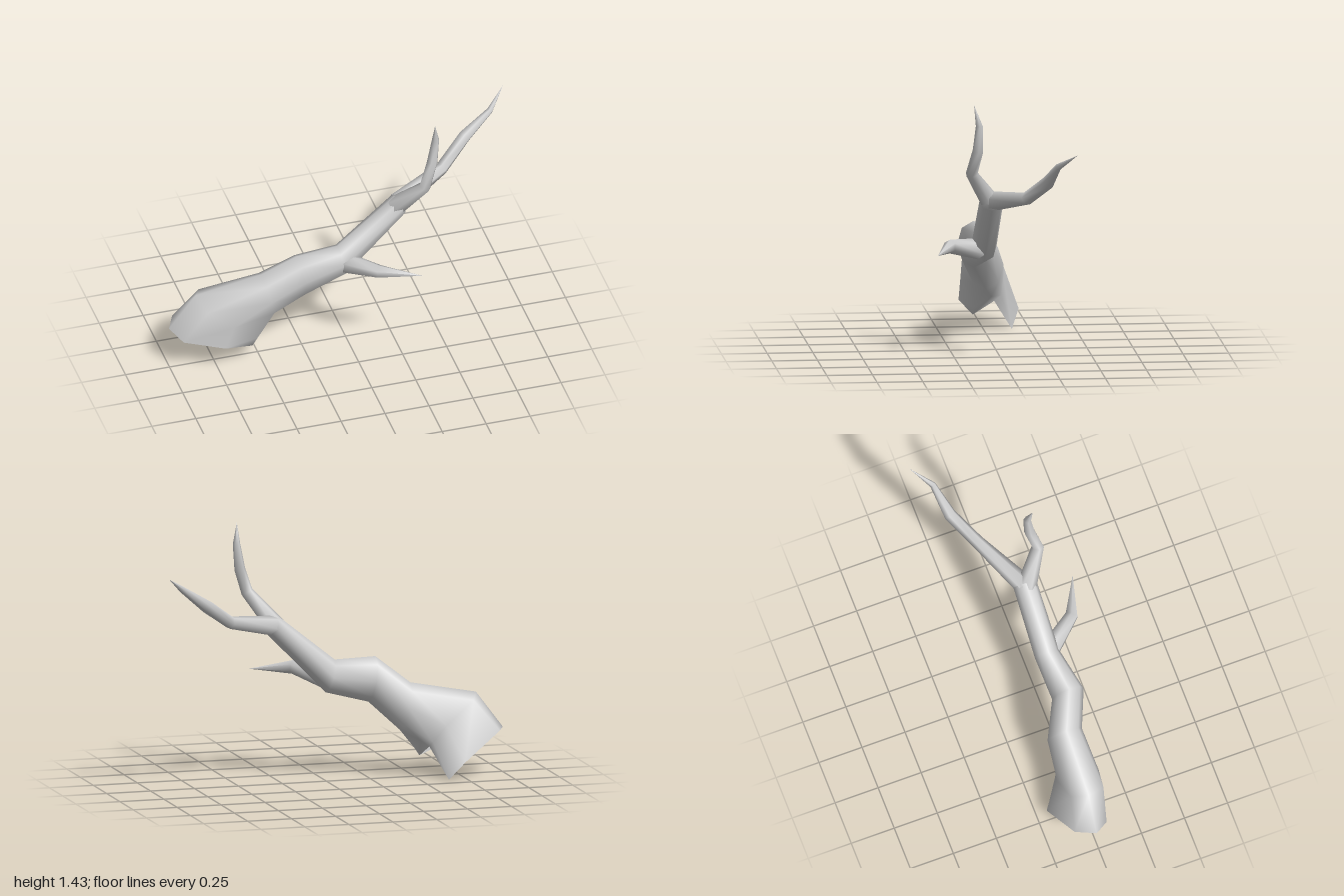
import * as THREE from 'three';

const SIDES = 8;
const V = (p) => new THREE.Vector3(...p);

// Smooth skin through a list of rings, each a loop of points
function loft(name, rings) {
  const n = rings[0].length, index = [];
  for (let i = 0; i < rings.length - 1; i++) {
    for (let j = 0; j < n; j++) {
      const k = (j + 1) % n;
      const a = i * n + j, b = i * n + k, c = b + n, d = a + n;
      index.push(a, b, c, a, c, d);
    }
  }
  const geometry = new THREE.BufferGeometry().setFromPoints(rings.flat());
  geometry.setIndex(index);
  geometry.computeVertexNormals();
  const material = new THREE.MeshStandardMaterial({ color: 0xcccccc, side: THREE.DoubleSide });
  const mesh = new THREE.Mesh(geometry, material);
  mesh.name = name;
  return mesh;
}

// Elliptical ring from a centre and two half axes
function ring(centre, up, side, n = SIDES) {
  return Array.from({ length: n }, (_, j) => {
    const a = (j / n) * Math.PI * 2;
    return centre.clone().addScaledVector(up, Math.cos(a)).addScaledVector(side, Math.sin(a));
  });
}

// Tapered limb through stations [x, y, z, radius]
function limb(name, stations) {
  const pts = stations.map(([x, y, z]) => V([x, y, z]));
  const rings = pts.map((p, i) => {
    const next = pts[Math.min(i + 1, pts.length - 1)], prev = pts[Math.max(i - 1, 0)];
    const t = next.clone().sub(p).normalize().add(p.clone().sub(prev).normalize()).normalize();
    const up = V([-1, 0.3, 0]);
    up.addScaledVector(t, -up.dot(t)).normalize();
    const side = t.clone().cross(up);
    const r = stations[i][3];
    return ring(p, up.multiplyScalar(r), side.multiplyScalar(r), 6);
  });
  return loft(name, rings);
}

export function createModel() {
  const group = new THREE.Group();
  group.name = 'deadTree';

  // Torn, open foot of the trunk: ragged rim, then the shoulder above it
  const rim = [
    [-1, 0.25, -0.01], [-0.94, 0.2, 0.07], [-0.72, 0.155, 0.13], [-0.55, 0.1, 0.07],
    [-0.57, 0.17, -0.05], [-0.65, 0.0, -0.155], [-0.73, 0.1, -0.2], [-0.95, 0.25, -0.12],
  ].map(V);
  const shoulder = [
    [-0.85, 0.45, 0], [-0.81, 0.39, 0.1], [-0.67, 0.28, 0.125], [-0.52, 0.145, 0.07],
    [-0.53, 0.2, -0.03], [-0.58, 0.2, -0.09], [-0.65, 0.29, -0.11], [-0.81, 0.42, -0.09],
  ].map(V);

  // Crooked trunk: centre, upward half axis, half width in z
  const trunk = [
    [[-0.45, 0.39, 0.01], [-0.03, 0.13, 0], 0.1],
    [[-0.285, 0.535, 0.09], [-0.02, 0.125, 0], 0.092],
    [[-0.04, 0.57, 0.06], [-0.025, 0.09, 0], 0.07],
    [[0.29, 0.87, 0.052], [-0.028, 0.052, 0], 0.066],
    [[0.34, 0.905, 0.055], [0, 0, 0], 0],
  ].map(([c, u, w]) => ring(V(c), V(u), V([0, 0, w])));
  group.add(loft('trunk', [rim, shoulder, ...trunk]));

  // Fork limbs and the side stub
  group.add(limb('uprightBranch', [
    [0.27, 0.865, 0.06, 0.055], [0.4, 1.04, 0.172, 0.034], [0.45, 1.175, 0.142, 0.031],
    [0.47, 1.315, 0.137, 0.021], [0.46, 1.43, 0.165, 0],
  ]));
  group.add(limb('longBranch', [
    [0.28, 0.868, 0.045, 0.056], [0.58, 0.93, -0.113, 0.036], [0.74, 1.043, -0.212, 0.036],
    [0.895, 1.155, -0.253, 0.018], [1, 1.235, -0.35, 0],
  ]));
  group.add(limb('sideBranch', [
    [-0.015, 0.555, 0.09, 0.058], [0.115, 0.592, 0.262, 0.038], [0.335, 0.578, 0.35, 0],
  ]));
  return group;
}
